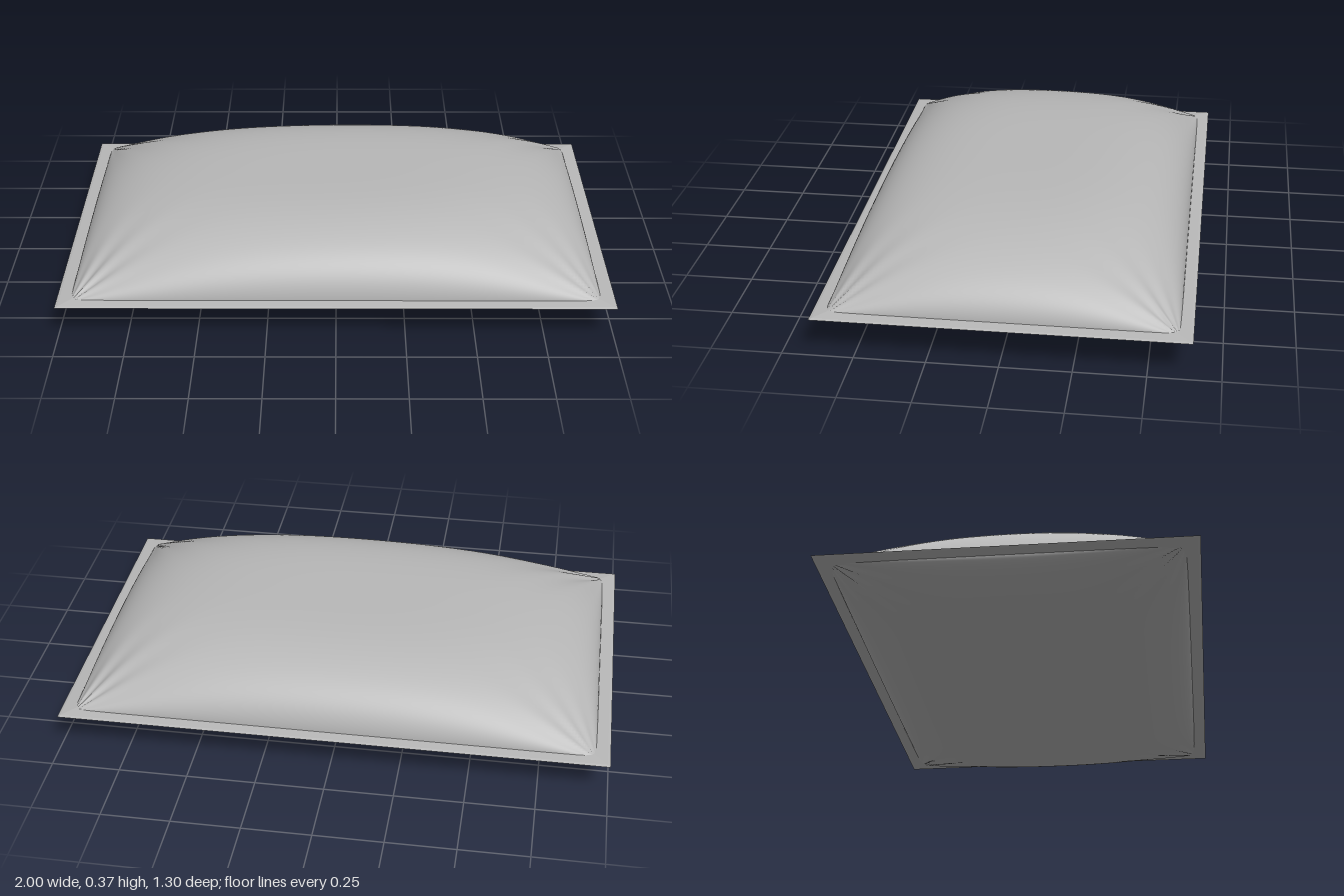
import * as THREE from 'three';

const SEAM_Y = 0.139;      // height of the stitched seam
const HALF_X = 0.95, HALF_Z = 0.605; // stuffed body
const OUT_X = 1, OUT_Z = 0.65;       // outer edge of the flange

// Radiating creases that gather at the four corners
function creases(x, z) {
  const dx = HALF_X - Math.abs(x), dz = HALF_Z - Math.abs(z);
  const r = Math.hypot(dx, dz);
  const angle = Math.atan2(dz, dx);
  const fade = Math.sin(2 * angle) * (r / 0.1) * Math.exp(1 - r / 0.1);
  return 0.005 * fade * Math.cos(angle * 16);
}

// One inflated cloth panel; side is 1 for the top and -1 for the underside
function panel(side, height, powX, powZ, pinch, material) {
  const geometry = new THREE.PlaneGeometry(2, 2, 112, 88);
  geometry.rotateX(-side * Math.PI / 2);
  const p = geometry.attributes.position;
  for (let i = 0; i < p.count; i++) {
    // Rows bunch up towards the seam, where the cloth turns steeply
    const u = Math.sin(p.getX(i) * Math.PI / 2);
    const v = Math.sin(p.getZ(i) * Math.PI / 2);
    const x = u * HALF_X, z = v * HALF_Z;
    const rise = Math.sqrt(Math.max(0, 1 - Math.abs(u) ** powX))
      * Math.sqrt(Math.max(0, 1 - Math.abs(v) ** powZ))
      * (1 - pinch * u * u * v * v); // less filling in the corners
    const lean = side > 0 ? 0.99 + 0.05 * u - 0.03 * u * u + 0.015 * v : 1;
    const y = Math.max(0, height * rise * lean + creases(x, z));
    p.setXYZ(i, x, SEAM_Y + side * y, z);
  }
  geometry.computeVertexNormals();
  return new THREE.Mesh(geometry, material);
}

// Flat flange: a thin tapered section carried round the rectangle
function flange(material) {
  const section = [[0.065, 0.008], [0.01, 0.003], [0, 0], [0.01, -0.003], [0.065, -0.008]];
  const corners = [[1, 1], [1, -1], [-1, -1], [-1, 1]];
  const points = [], index = [];
  for (const [sx, sz] of corners) {
    for (const [inset, y] of section) {
      points.push(sx * (OUT_X - inset), SEAM_Y + y, sz * (OUT_Z - inset));
    }
  }
  const n = section.length;
  for (let c = 0; c < 4; c++) {
    for (let k = 0; k < n - 1; k++) {
      const a = c * n + k, b = ((c + 1) % 4) * n + k;
      index.push(a, a + 1, b, b, a + 1, b + 1);
    }
  }
  const indexed = new THREE.BufferGeometry();
  indexed.setAttribute('position', new THREE.Float32BufferAttribute(points, 3));
  indexed.setIndex(index);
  const geometry = indexed.toNonIndexed();
  geometry.computeVertexNormals();
  return new THREE.Mesh(geometry, material);
}

export function createModel() {
  const model = new THREE.Group();
  model.name = 'pillow';
  const cloth = new THREE.MeshStandardMaterial({ color: 0xb8b8b8 });
  cloth.name = 'grey cloth';
  cloth.side = THREE.DoubleSide;

  const top = panel(1, 0.232, 4, 3.8, 0.5, cloth);
  top.name = 'topPanel';
  const bottom = panel(-1, 0.137, 2.5, 2.4, 0.2, cloth);
  bottom.name = 'bottomPanel';
  const border = flange(cloth);
  border.name = 'seamFlange';

  model.add(top, bottom, border);
  return model;
}
